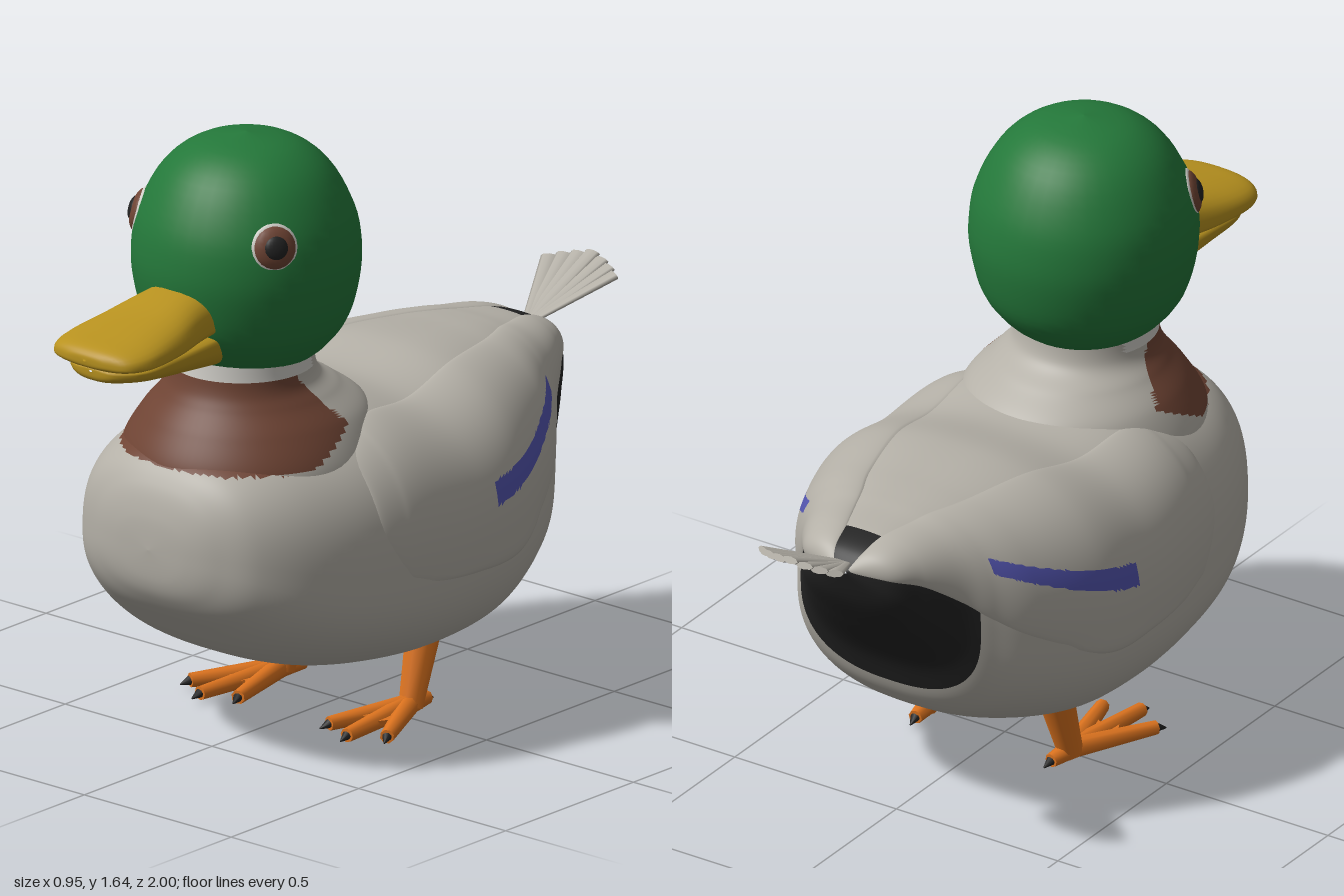
import * as THREE from 'three';

const mat = (name, color) => Object.assign(new THREE.MeshStandardMaterial({ color }), { name });

// Catmull-Rom blend of table rows at fractional index u
function rowAt(t, u) {
  const n = t.length - 1, i = Math.min(Math.floor(u), n - 1), f = u - i;
  const [a, b, c, d] = [i - 1, i, i + 1, i + 2].map(k => t[Math.max(0, Math.min(n, k))]);
  return b.map((p, k) => p + 0.5 * f * (c[k] - a[k] + f * (2 * a[k] - 5 * p + 4 * c[k] - d[k]
    + f * (3 * (p - c[k]) + d[k] - a[k]))));
}

// Grid surface; paint(centre) picks the material index of each cell
function grid(rows, cols, point, { closed = true, flip = false, paint = () => 0 } = {}) {
  const w = closed ? cols : cols + 1, pts = [], lists = [];
  for (let i = 0; i <= rows; i++) for (let j = 0; j < w; j++) pts.push(point(i / rows, j / cols));
  for (let i = 0; i < rows; i++) for (let j = 0; j < cols; j++) {
    const k = (j + 1) % w, q = [i * w + j, i * w + k, (i + 1) * w + j, (i + 1) * w + k];
    for (const tri of [[q[0], q[1], q[2]], [q[1], q[3], q[2]]]) {
      const c = new THREE.Vector3();
      tri.forEach(v => c.addScaledVector(pts[v], 1 / 3));
      if (flip) tri.reverse();
      (lists[paint(c)] ??= []).push(...tri);
    }
  }
  const g = new THREE.BufferGeometry().setFromPoints(pts);
  let start = 0;
  lists.forEach((l, m) => { g.addGroup(start, l.length, m); start += l.length; });
  g.setIndex(lists.filter(Boolean).flat());
  g.computeVertexNormals();
  return g;
}

// Point on a squarish oval section [z, top, bottom, halfWidth, widestY]; a = 0 at the top
const N = 2.5;
const pow = (v, e) => Math.sign(v) * Math.abs(v) ** e;
function section([z, top, bot, w, mid], a) {
  const c = Math.cos(a);
  return new THREE.Vector3(w * pow(Math.sin(a), 2 / N), mid + (c > 0 ? top - mid : mid - bot) * pow(c, 2 / N), z);
}
const loft = (t, rows, cols, opt) =>
  grid(rows, cols, (s, v) => section(rowAt(t, s * (t.length - 1)), v * Math.PI * 2), opt);

const BODY = [
  [0.75, 0.6, 0.6, 0.001, 0.6], [0.742, 0.69, 0.51, 0.12, 0.6], [0.715, 0.77, 0.45, 0.21, 0.59],
  [0.66, 0.83, 0.385, 0.3, 0.57], [0.55, 0.87, 0.29, 0.38, 0.53], [0.4, 0.89, 0.225, 0.435, 0.49],
  [0.2, 0.92, 0.185, 0.46, 0.47], [0, 0.9, 0.17, 0.465, 0.47], [-0.2, 0.93, 0.19, 0.45, 0.49],
  [-0.4, 0.92, 0.26, 0.37, 0.53], [-0.5, 0.91, 0.34, 0.3, 0.58], [-0.56, 0.9, 0.47, 0.25, 0.65],
  [-0.65, 0.885, 0.6, 0.19, 0.73], [-0.72, 0.86, 0.71, 0.13, 0.78], [-0.76, 0.82, 0.81, 0.02, 0.815],
];
// [body row, height of lower edge, x of upper edge]
const WING = [
  [5.35, 0.62, 0.33], [5.7, 0.51, 0.27], [6, 0.465, 0.24], [7, 0.44, 0.22], [8, 0.45, 0.19], [9, 0.56, 0.14],
  [10, 0.64, 0.1], [11, 0.7, 0.08], [12, 0.77, 0.05], [13, 0.8, 0.035], [13.9, 0.815, 0.015],
];
// [y, half width, back z, front z]
const NECK = [
  [0.72, 0.35, -0.04, 0.7], [0.81, 0.325, 0, 0.685], [0.89, 0.28, 0.03, 0.64], [0.95, 0.225, 0.11, 0.595],
  [1, 0.19, 0.18, 0.572], [1.09, 0.18, 0.2, 0.56],
];

export function createModel() {
  const model = new THREE.Group();
  const grey = mat('plumage grey', 0xb4b0a7), green = mat('head green', 0x24783a);
  const brown = mat('chest brown', 0x6f4434), black = mat('rump black', 0x222222);
  const yellow = mat('bill yellow', 0xb8921f), orange = mat('leg orange', 0xde741f);
  const blue = mat('wing blue', 0x5355b0), white = mat('collar white', 0xd0cec8);
  const add = (name, geo, m, parent = model) => {
    const o = new THREE.Mesh(geo, m);
    o.name = name;
    parent.add(o);
    return o;
  };
  // Tapered round bar between two points
  const bar = (name, p, q, r0, r1, m, parent) => {
    const a = new THREE.Vector3(...p), d = new THREE.Vector3(...q).sub(a);
    const o = add(name, new THREE.CylinderGeometry(r1, r0, d.length(), 8), m, parent);
    o.position.copy(a).addScaledVector(d, 0.5);
    o.quaternion.setFromUnitVectors(new THREE.Vector3(0, 1, 0), d.normalize());
  };

  // Body and neck, with brown chest, black rump and pale collar
  const isChest = p => p.y > 0.81 && p.y < 1.02
    && p.z > (p.y < 0.89 ? 0.45 - (p.y - 0.81) * 2 : 0.29 + (p.y - 0.89) * 0.7);
  const paint = p => isChest(p) ? 1 : p.z < -0.525 && p.y < 0.8 || p.z < -0.65 ? 2 : p.y > 1.02 && p.z > 0.3 ? 3 : 0;
  const coat = [grey, brown, black, white];
  add('body', loft(BODY, 140, 96, { paint }), coat);
  add('neck', grid(60, 80, (s, v) => {
    const [y, rx, back, front] = rowAt(NECK, s * (NECK.length - 1)), a = v * Math.PI * 2;
    return new THREE.Vector3(rx * Math.sin(a), y, (back + front) / 2 + (front - back) / 2 * Math.cos(a));
  }, { paint }), coat);

  // Folded wings: raised patches following the body, each with a blue bar
  const isBar = p => p.z < -0.08 && p.z > -0.49
    && Math.abs(p.y - (0.64 - (p.z + 0.08) * 0.2 + (p.z + 0.08) ** 2 * 0.42)) < 0.033 + (p.z + 0.08) * 0.03;
  for (const side of [1, -1]) {
    const geo = grid(150, 70, (s, v) => {
      const [u, low, up] = rowAt(WING, s * (WING.length - 1)), r = rowAt(BODY, u);
      const [, top, bot, w, mid] = r, k = (low - mid) / (low > mid ? top - mid : mid - bot);
      const a0 = Math.asin(Math.min(1, up / w) ** (N / 2));
      const a1 = Math.acos(Math.max(-1, Math.min(1, pow(k, N / 2))));
      const p = section(r, a0 + (a1 - a0) * v);
      const lift = Math.max(0, Math.sin(Math.PI * v) * Math.sin(Math.PI * s)) ** 0.4 * 0.032 - 0.008;
      p.add(new THREE.Vector3(p.x, p.y - mid, 0).normalize().multiplyScalar(lift));
      p.x *= side;
      return p;
    }, { closed: false, flip: side < 0, paint: p => isBar(p) ? 1 : 0 });
    add(side > 0 ? 'leftWing' : 'rightWing', geo, [grey, blue]);
  }

  // Head
  const outline = [[0.165, 1.04], [0.215, 1.08], [0.265, 1.15], [0.292, 1.25], [0.297, 1.34], [0.277, 1.44],
    [0.215, 1.55], [0.125, 1.615], [0, 1.64]].map(p => new THREE.Vector2(...p));
  const headPts = new THREE.SplineCurve(outline).getPoints(32);
  headPts.forEach(p => { p.x = Math.max(0, p.x); });
  add('head', new THREE.LatheGeometry(headPts, 40), green).position.z = 0.365;

  // Eyes: rim, iris and pupil
  for (const side of [1, -1]) {
    const eye = new THREE.Group();
    eye.name = side > 0 ? 'leftEye' : 'rightEye';
    eye.position.set(side * 0.228, 1.415, 0.518);
    eye.lookAt(side * 1.05, 1.66, 1.06);
    for (const [name, r, depth, z, m] of [['eyeRim', 0.063, 0.016, 0, white], ['iris', 0.057, 0.024, 0.002, brown],
      ['pupil', 0.032, 0.014, 0.018, black]]) {
      const o = add(name, new THREE.SphereGeometry(r, 20, 12), m, eye);
      o.scale.z = depth / r;
      o.position.z = z;
    }
    model.add(eye);
  }

  // Bill
  add('upperBill', loft([
    [1, 1.185, 1.18, 0.005, 1.182], [0.995, 1.2, 1.165, 0.07, 1.178], [0.97, 1.215, 1.158, 0.13, 1.175],
    [0.9, 1.23, 1.155, 0.155, 1.175], [0.78, 1.255, 1.155, 0.145, 1.18], [0.66, 1.285, 1.16, 0.12, 1.19],
    [0.55, 1.3, 1.16, 0.11, 1.2]], 36, 32), yellow);
  add('lowerBill', loft([
    [0.975, 1.15, 1.145, 0.005, 1.147], [0.965, 1.158, 1.12, 0.07, 1.147], [0.9, 1.163, 1.11, 0.125, 1.147],
    [0.78, 1.168, 1.09, 0.125, 1.147], [0.55, 1.175, 1.06, 0.11, 1.147]], 24, 32), yellow);

  // Tail fan
  const tail = new THREE.Group();
  tail.name = 'tail';
  tail.position.set(0, 0.825, -0.73);
  for (let i = -3; i <= 3; i++) {
    const len = 0.29 - Math.abs(i) * 0.008;
    const geo = new THREE.CylinderGeometry(0.024, 0.014, len, 8);
    geo.translate(0, len / 2, 0).rotateX(-Math.PI / 2).scale(1, 0.4, 1);
    const f = add('tailFeather', geo, grey, tail);
    f.rotation.set(0.45 - Math.abs(i) * 0.02, -i * 0.155, 0, 'YXZ');
  }
  model.add(tail);

  // Legs and webbed feet
  for (const side of [1, -1]) {
    const leg = new THREE.Group();
    leg.name = side > 0 ? 'leftLeg' : 'rightLeg';
    bar('shank', [side * 0.21, 0.26, -0.1], [side * 0.22, 0.02, -0.025], 0.053, 0.034, orange, leg);
    const root = [side * 0.22, 0.028, -0.02];
    for (const [x, z] of [[0.155, 0.22], [0.25, 0.26], [0.335, 0.2], [0.21, -0.1]]) {
      const tip = [side * x, 0.024, z], d = [0, 1, 2].map(k => tip[k] - root[k]), l = Math.hypot(...d);
      bar('toe', root, tip, 0.028, 0.019, orange, leg);
      bar('claw', tip, tip.map((t, k) => t + d[k] / l * 0.028 - (k === 1 ? 0.008 : 0)), 0.013, 0.002, black, leg);
    }
    const web = new THREE.Shape([[0.21, -0.02], [0.17, 0.15], [0.21, 0.13], [0.245, 0.17], [0.27, 0.12],
      [0.31, 0.14], [0.23, -0.02]].map(([x, z]) => new THREE.Vector2(side * x, z)));
    const geo = new THREE.ExtrudeGeometry(web, { depth: 0.014, bevelEnabled: false }).rotateX(Math.PI / 2);
    add('web', geo, orange, leg).position.y = 0.034;
    model.add(leg);
  }
  return model;
}
